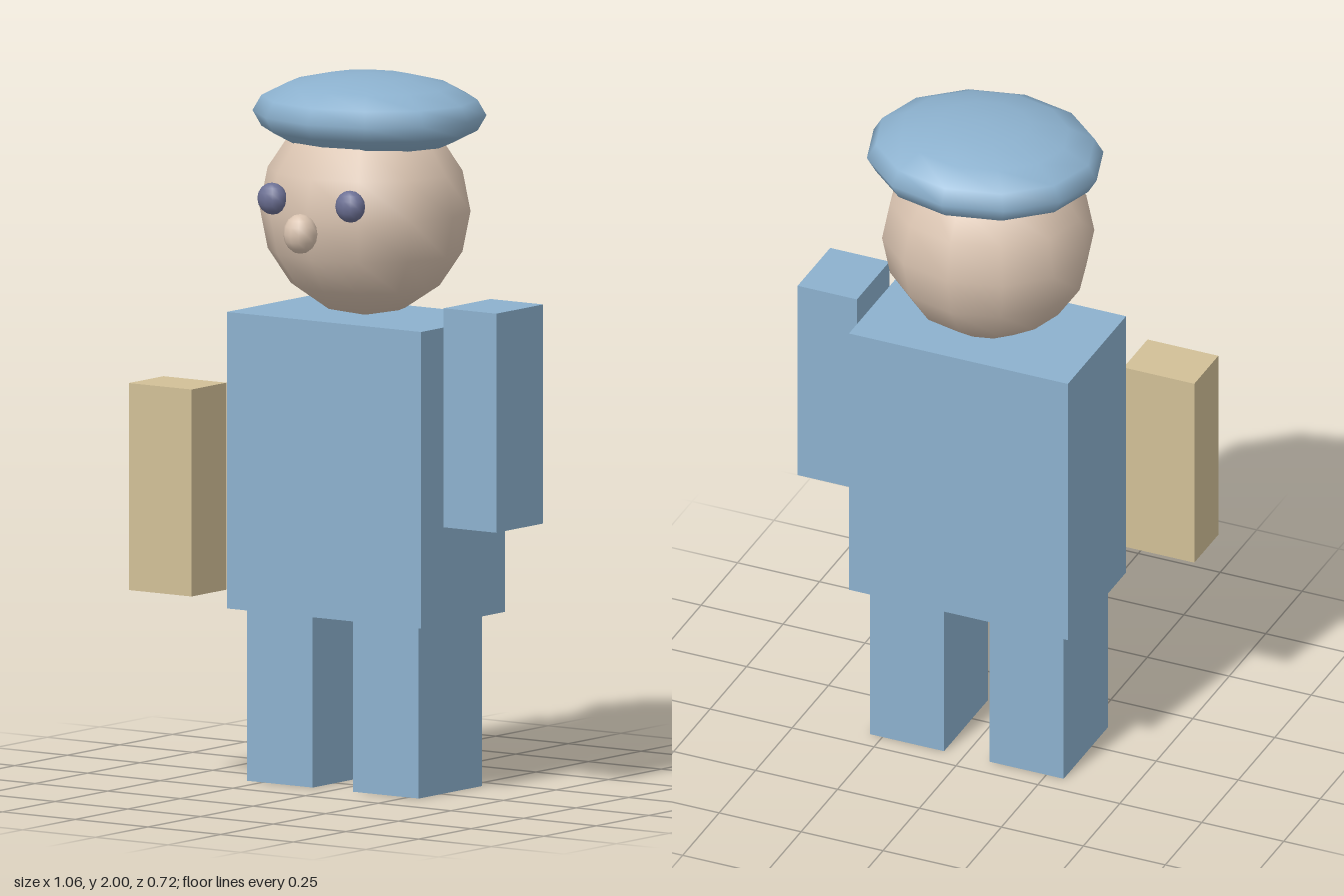
import * as THREE from 'three';

const paint = (name, color) => {
  const m = new THREE.MeshStandardMaterial({ color });
  m.name = name;
  return m;
};

export function createModel() {
  const model = new THREE.Group();
  model.name = 'blockFigure';

  const blue = paint('blue cloth', 0x8cb1ce);
  const skin = paint('skin', 0xd9c3b0);
  const tan = paint('tan', 0xd2c097);
  const slate = paint('slate', 0x6c7094);

  const add = (name, geometry, material, x, y, z) => {
    const mesh = new THREE.Mesh(geometry, material);
    mesh.name = name;
    mesh.position.set(x, y, z);
    model.add(mesh);
    return mesh;
  };

  // Box given by its [min, max] range on each axis
  const box = (name, material, [x0, x1], [y0, y1], [z0, z1]) =>
    add(name, new THREE.BoxGeometry(x1 - x0, y1 - y0, z1 - z0), material,
      (x0 + x1) / 2, (y0 + y1) / 2, (z0 + z1) / 2);

  // Smooth low-poly ellipsoid given by centre and radii
  const ellipsoid = (name, material, [x, y, z], [rx, ry, rz]) =>
    add(name, new THREE.SphereGeometry(1, 12, 8).scale(rx, ry, rz), material, x, y, z);

  // Body and legs
  box('torso', blue, [-0.338, 0.33], [0.488, 1.323], [-0.242, 0.157]);
  box('rightLeg', blue, [-0.303, -0.077], [0, 0.488], [-0.192, 0.11]);
  box('leftLeg', blue, [0.062, 0.288], [0, 0.488], [-0.192, 0.11]);

  // Raised left arm, and the tan block carried at the right
  box('leftArm', blue, [0.345, 0.526], [0.764, 1.381], [-0.153, 0.07]);
  box('carriedBlock', tan, [-0.53, -0.314], [0.547, 1.13], [0.193, 0.358]);

  // Head and face
  ellipsoid('head', skin, [-0.005, 1.618, -0.04], [0.302, 0.298, 0.28]);
  for (const [name, side] of [['leftEye', 1], ['rightEye', -1]]) {
    ellipsoid(name, slate, [-0.005 + side * 0.134, 1.666, 0.216], [0.045, 0.045, 0.035]);
  }
  ellipsoid('nose', skin, [-0.005, 1.584, 0.268], [0.048, 0.056, 0.048]);

  // Flat cap sunk over the top of the head
  ellipsoid('cap', blue, [-0.005, 1.887, -0.061], [0.34, 0.113, 0.299]);

  return model;
}
